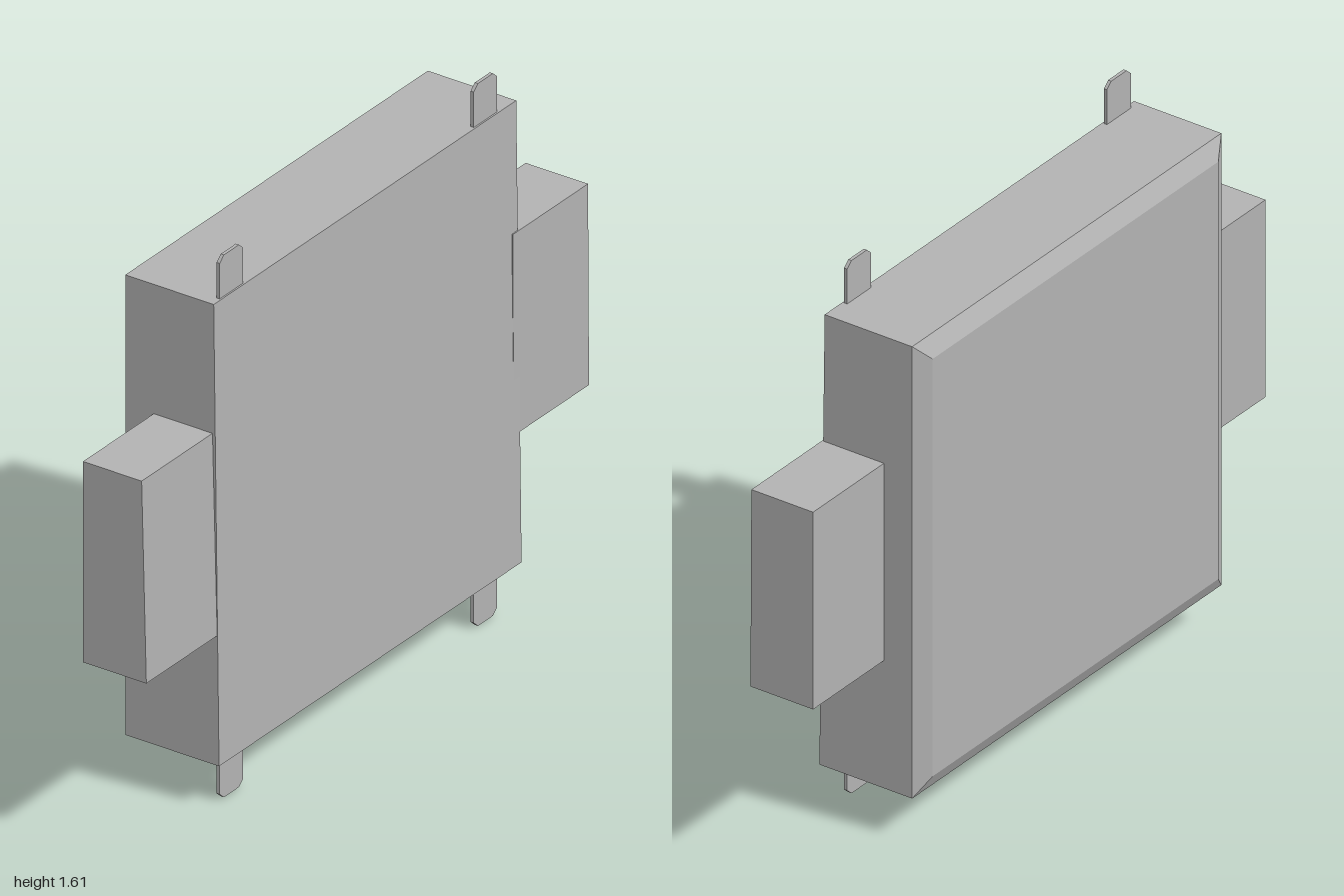
import * as THREE from 'three';

export function createModel() {
  const model = new THREE.Group();
  const grey = new THREE.MeshStandardMaterial({ color: 0xb2b2b2 });
  grey.name = 'plain grey';

  const add = (name, geometry) => {
    const mesh = new THREE.Mesh(geometry, grey);
    mesh.name = name;
    model.add(mesh);
    return mesh;
  };

  // Box between limits; the outer x face may lean from xBottom to xTop
  const leaningBox = (x0, xBottom, xTop, y0, y1, z0, z1, chamferDepth = 0, inset = 0) => {
    const box = new THREE.BoxGeometry(2, 2, 2, chamferDepth ? 2 : 1, 1, 1);
    const p = box.attributes.position;
    for (let i = 0; i < p.count; i++) {
      const x = p.getX(i), up = p.getY(i) > 0, front = p.getZ(i) > 0;
      const d = x < -0.5 ? inset : 0;
      const nx = x < -0.5 ? x0 : x > 0.5 ? (up ? xTop : xBottom) : x0 + chamferDepth;
      p.setXYZ(i, nx, up ? y1 - d : y0 + d, front ? z1 - d : z0 + d);
    }
    const flat = box.toNonIndexed();
    flat.computeVertexNormals();
    return flat;
  };

  // Main slab with a bevelled rim on one side and a slightly leaning face on the other
  add('body', leaningBox(-0.165, 0.162, 0.145, 0.125, 1.488, -0.687, 0.68, 0.028, 0.052));

  // Side blocks
  add('frontBlock', leaningBox(-0.046, 0.156, 0.141, 0.51, 1.105, 0.66, 1));
  add('backBlock', leaningBox(-0.046, 0.156, 0.153, 0.51, 1.105, -1, -0.66));

  // Thin tabs with clipped outer corners, above and below
  const tabShape = new THREE.Shape([
    [-0.053, -0.02], [0.053, -0.02], [0.053, 0.105],
    [0.034, 0.122], [-0.034, 0.122], [-0.053, 0.105],
  ].map(([x, y]) => new THREE.Vector2(x, y)));
  const tabGeometry = new THREE.ExtrudeGeometry(tabShape, { depth: 0.01, bevelEnabled: false });
  tabGeometry.translate(0, 0, -0.005);
  for (const [side, z] of [['front', 0.593], ['back', -0.555]]) {
    const upper = add(side + 'UpperTab', tabGeometry);
    upper.position.set(0.135, 1.488, z);
    upper.rotation.y = Math.PI / 2;
    const lower = add(side + 'LowerTab', tabGeometry);
    lower.position.set(0.135, 0.125, z);
    lower.rotation.set(Math.PI, Math.PI / 2, 0);
  }
  return model;
}
